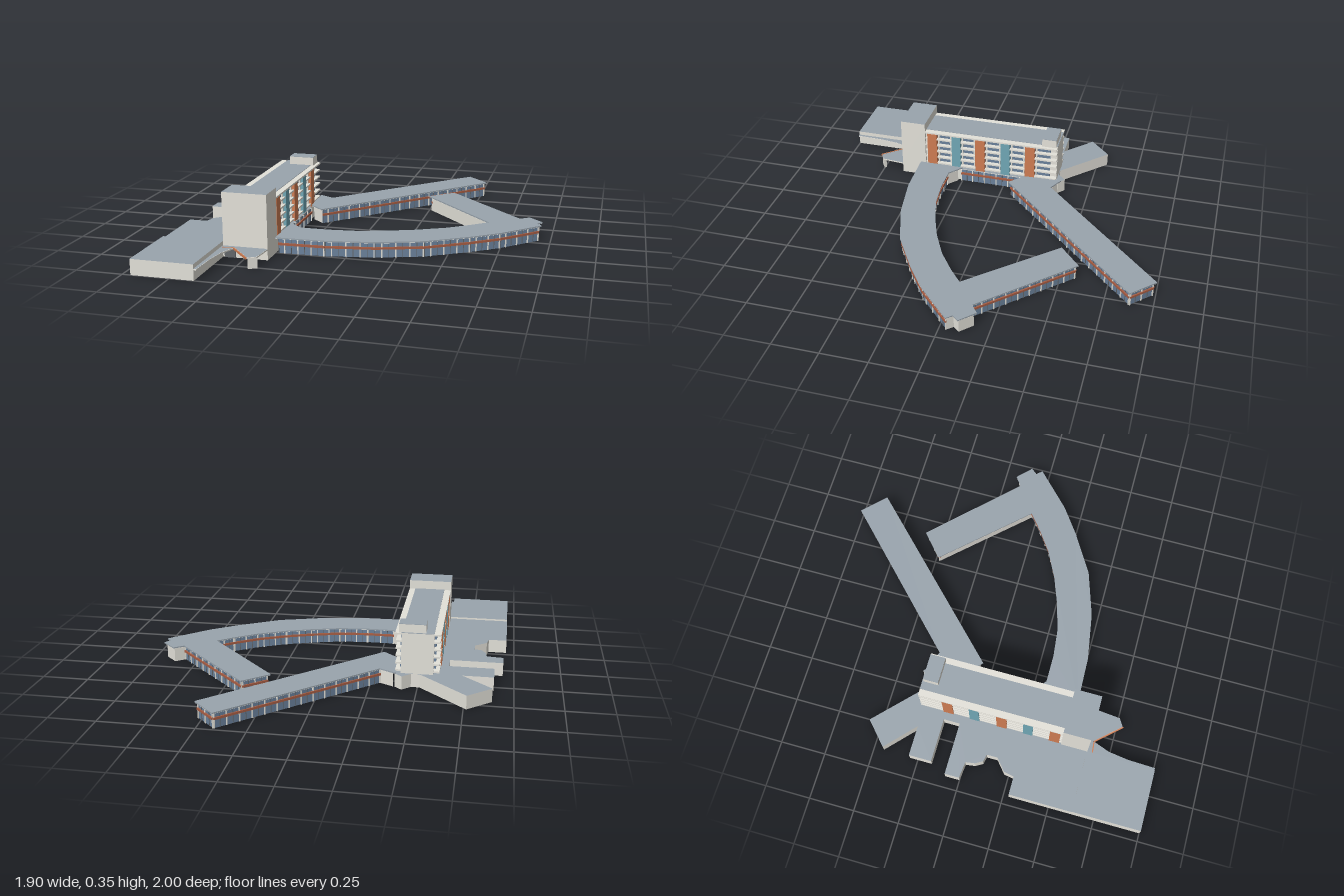
import * as THREE from 'three';
import { mergeGeometries } from 'three/addons/utils/BufferGeometryUtils.js';

const mat = (name, color, side = THREE.FrontSide) => {
  const m = new THREE.MeshStandardMaterial({ color, side });
  m.name = name;
  return m;
};

export function createModel() {
  const model = new THREE.Group();
  const wallMat = mat('pale concrete', 0xe3e1d9, THREE.DoubleSide);
  const roofMat = mat('grey roofing', 0x99a4ad, THREE.DoubleSide);
  const glassMat = mat('blue glass', 0x6a819b, THREE.DoubleSide);
  const frameMat = mat('dark frame', 0x62666a);
  const rustMat = mat('rust band', 0xa85e44);
  const orangeMat = mat('orange panel', 0xce7c52);
  const tealMat = mat('teal panel', 0x70a7b5);

  const add = (parent, name, geo, material) => {
    const mesh = new THREE.Mesh(geo, material);
    mesh.name = name;
    parent.add(mesh);
    return mesh;
  };
  const group = (name) => {
    const g = new THREE.Group();
    g.name = name;
    model.add(g);
    return g;
  };
  // Box given by its limits on each axis
  const block = (x0, x1, y0, y1, z0, z1) => new THREE.BoxGeometry(x1 - x0, y1 - y0, z1 - z0)
    .translate((x0 + x1) / 2, (y0 + y1) / 2, (z0 + z1) / 2);
  const rect = (x0, x1, z0, z1) => [[x0, z0], [x1, z0], [x1, z1], [x0, z1]];
  const planShape = (pts) => new THREE.Shape(pts.map(([x, z]) => new THREE.Vector2(x, -z)));
  const flatRoof = (pts, y) =>
    new THREE.ShapeGeometry(planShape(pts)).rotateX(-Math.PI / 2).translate(0, y, 0);
  const slab = (pts, y0, y1) =>
    new THREE.ExtrudeGeometry(planShape(pts), { depth: y1 - y0, bevelEnabled: false })
      .rotateX(-Math.PI / 2).translate(0, y0, 0);
  const clockwise = (pts) => pts.reduce((s, [x, z], i) => {
    const [u, v] = pts[(i + 1) % pts.length];
    return s + x * v - u * z;
  }, 0) < 0;
  // Upright wall between two plan points, facing out of a positively wound plan
  const wall = ([x0, z0], [x1, z1], y0, y1) => {
    const len = Math.hypot(x1 - x0, z1 - z0);
    return new THREE.PlaneGeometry(len, y1 - y0)
      .rotateY(Math.PI - Math.atan2(z1 - z0, x1 - x0))
      .translate((x0 + x1) / 2, (y0 + y1) / 2, (z0 + z1) / 2);
  };
  // Beam along part of a plan segment, t0..t1 measured in units of length
  const beam = ([x0, z0], [x1, z1], t0, t1, y0, y1, thick) => {
    const len = Math.hypot(x1 - x0, z1 - z0), t = (t0 + t1) / 2 / len;
    return new THREE.BoxGeometry(t1 - t0, y1 - y0, thick)
      .rotateY(-Math.atan2(z1 - z0, x1 - x0))
      .translate(x0 + (x1 - x0) * t, (y0 + y1) / 2, z0 + (z1 - z0) * t);
  };
  const length = (a, b) => Math.hypot(b[0] - a[0], b[1] - a[1]);
  // Mitred inset of a positively wound plan
  const inset = (pts, d) => pts.map(([x, z], i) => {
    const [px, pz] = pts[(i + pts.length - 1) % pts.length];
    const [nx, nz] = pts[(i + 1) % pts.length];
    const a = new THREE.Vector2(-(z - pz), x - px).normalize();
    const b = new THREE.Vector2(-(nz - z), nx - x).normalize();
    const k = d / Math.max(0.3, 1 + a.dot(b));
    return [x + (a.x + b.x) * k, z + (a.y + b.y) * k];
  });

  // Glazed two-storey front: glass, rust band, thin frames and pale posts
  const facade = (parent, segments, top) => {
    const glass = [], bands = [], frames = [], posts = [];
    for (const [a, b] of segments) {
      const len = length(a, b);
      glass.push(wall(a, b, 0, top));
      bands.push(beam(a, b, 0, len, 0.045, 0.057, 0.016));
      const n = Math.max(1, Math.round(len / 0.035));
      for (let i = 0; i <= n; i++) {
        const t = Math.min(len - 0.003, Math.max(0.003, i * len / n));
        if (i % 2) frames.push(beam(a, b, t - 0.0015, t + 0.0015, 0, top, 0.006));
        else posts.push(beam(a, b, t - 0.003, t + 0.003, 0, top, 0.01));
      }
    }
    add(parent, 'glazing', mergeGeometries(glass), glassMat);
    add(parent, 'spandrelBand', mergeGeometries(bands), rustMat);
    add(parent, 'windowFrames', mergeGeometries(frames), frameMat);
    add(parent, 'facadePosts', mergeGeometries(posts), wallMat);
  };
  // Plain volume, open underneath
  const volume = (name, pts, y0, y1) => {
    const g = group(name), p = clockwise(pts) ? [...pts].reverse() : pts;
    add(g, 'walls', mergeGeometries(p.map((a, i) => wall(a, p[(i + 1) % p.length], y0, y1))), wallMat);
    add(g, 'roof', flatRoof(p, y1), roofMat);
  };
  // Low wing with an overhanging roof; plain lists the blank segments, open the one left out
  const wing = (name, pts, plain, open) => {
    const g = group(name), p = inset(pts, 0.012), blank = [], glazed = [];
    p.forEach((a, i) => {
      if (i !== open) (plain.includes(i) ? blank : glazed).push([a, p[(i + 1) % p.length]]);
    });
    add(g, 'wingRoof', slab(pts, 0.081, 0.088), roofMat);
    add(g, 'soffit', flatRoof(pts, 0.0804), wallMat);
    add(g, 'blankWalls', mergeGeometries(blank.map(([a, b]) => wall(a, b, 0, 0.08))), wallMat);
    facade(g, glazed, 0.08);
  };

  // Low halls on the right-hand side and under the slab block, front hall slightly raised
  volume('podium', [
    [-0.955, 1], [-0.955, 0.28], [-0.855, 0.28], [-0.845, 0.225], [-0.78, 0.17], [-0.78, 0.11],
    [-0.82, 0.1], [-0.843, 0.06], [-0.85, 0.01], [-0.94, 0], [-0.94, -0.08], [-0.655, -0.08],
    [-0.655, -0.17], [-0.895, -0.17], [-0.895, -0.295], [-0.73, -0.295], [-0.89, -0.445],
    [-0.765, -0.56], [-0.51, -0.315], [-0.465, -0.315], [-0.42, -0.36], [-0.38, -0.325],
    [-0.376, 0.627], [-0.62, 0.627], [-0.62, 1],
  ], 0, 0.074);
  volume('frontHallTop', rect(-0.955, -0.62, 0.625, 1), 0.074, 0.084);
  facade(group('podiumFront'), [[[-0.372, -0.1], [-0.372, 0.26]]], 0.074);

  // Straight wing running to the back left
  wing('straightWing', [
    [-0.385, -0.345], [-0.3, -0.3], [0.414, -1], [0.537, -0.878], [-0.293, -0.05], [-0.375, -0.125],
  ], [0, 4], 5);

  // Curved wing with its returning spur and stair block
  wing('curvedWing', [
    [-0.375, 0.25], [-0.3, 0.315], [-0.15, 0.315], [0.01, 0.298], [0.17, 0.252], [0.31, 0.2],
    [0.46, 0.125], [0.58, 0.04], [0.665, -0.03], [0.25, -0.475], [0.38, -0.59], [0.822, -0.14],
    [0.873, -0.178], [0.95, -0.103], [0.922, -0.07], [0.95, -0.04], [0.755, 0.146], [0.61, 0.25],
    [0.39, 0.383], [0.145, 0.462], [-0.113, 0.504], [-0.375, 0.512],
  ], [0, 8, 11, 12, 13, 14], 21);

  // Tall slab block
  const tower = group('slabBlock');
  add(tower, 'slabCore', block(-0.58, -0.41, 0.074, 0.297, -0.312, 0.48), wallMat);
  add(tower, 'slabRoof', block(-0.58, -0.41, 0.297, 0.299, -0.312, 0.48), roofMat);
  add(tower, 'roofPlant', block(-0.537, -0.395, 0.29, 0.343, -0.305, -0.222), wallMat);
  add(tower, 'roofPlantTop', block(-0.537, -0.395, 0.343, 0.345, -0.305, -0.222), roofMat);
  const panels = [[0.467, 0.41], [0.318, 0.265], [0.174, 0.117], [0.02, -0.034], [-0.126, -0.183]];
  for (const side of [1, -1]) {
    // Sides mirror about the centre line of the block
    const at = (d0, d1, y0, y1, z0, z1) => {
      const c = -0.4965;
      return side > 0 ? block(c + d0, c + d1, y0, y1, z0, z1) : block(c - d1, c - d0, y0, y1, z0, z1);
    };
    const ledges = [], fins = [], orange = [], teal = [];
    add(tower, 'slabGlazing', at(0.08, 0.094, 0.074, 0.288, -0.272, 0.48), glassMat);
    for (let i = 0; i < 6; i++) {
      const y = 0.09 + i * 0.0405;
      ledges.push(at(0.08, i === 5 ? 0.12 : 0.116, y - 0.005, y + 0.004, -0.312, 0.482));
    }
    panels.forEach(([z1, z0], i) => {
      (i % 2 ? teal : orange).push(at(0.08, 0.1185, 0.076, 0.286, z0, z1));
      for (const z of [z0 - 0.009, z1 + 0.009]) fins.push(at(0.08, 0.104, 0.076, 0.288, z - 0.004, z + 0.004));
    });
    add(tower, 'floorLedges', mergeGeometries(ledges), wallMat);
    add(tower, 'windowFins', mergeGeometries(fins), wallMat);
    add(tower, 'orangePanels', mergeGeometries(orange), orangeMat);
    add(tower, 'tealPanels', mergeGeometries(teal), tealMat);
  }

  // Blank head block at the front of the slab
  volume('headBlock', rect(-0.618, -0.376, 0.48, 0.627), 0.074, 0.347);

  // Entrance canopy with orange front edge, pier and doors
  const entrance = group('entrance');
  const canopy = [
    [-0.62, 0.627], [-0.376, 0.627], [-0.388, 0.755], [-0.43, 0.78], [-0.55, 0.645],
    [-0.585, 0.74], [-0.6, 0.85], [-0.605, 1], [-0.62, 1],
  ];
  add(entrance, 'canopySlab', slab(canopy, 0.053, 0.06), wallMat);
  add(entrance, 'canopyTop', flatRoof(canopy, 0.0615), roofMat);
  const fascia = [[-0.612, 0.655], [-0.552, 0.65], [-0.432, 0.784]];
  add(entrance, 'canopyFascia', mergeGeometries(fascia.slice(1).map((b, i) =>
    beam(fascia[i], b, 0, length(fascia[i], b), 0.052, 0.0625, 0.006))), orangeMat);
  add(entrance, 'canopyPier', slab([[-0.432, 0.768], [-0.395, 0.74], [-0.385, 0.752], [-0.425, 0.776]], 0, 0.053), wallMat);
  add(entrance, 'entranceDoors', block(-0.61, -0.55, 0, 0.05, 0.625, 0.631), frameMat);
  return model;
}
